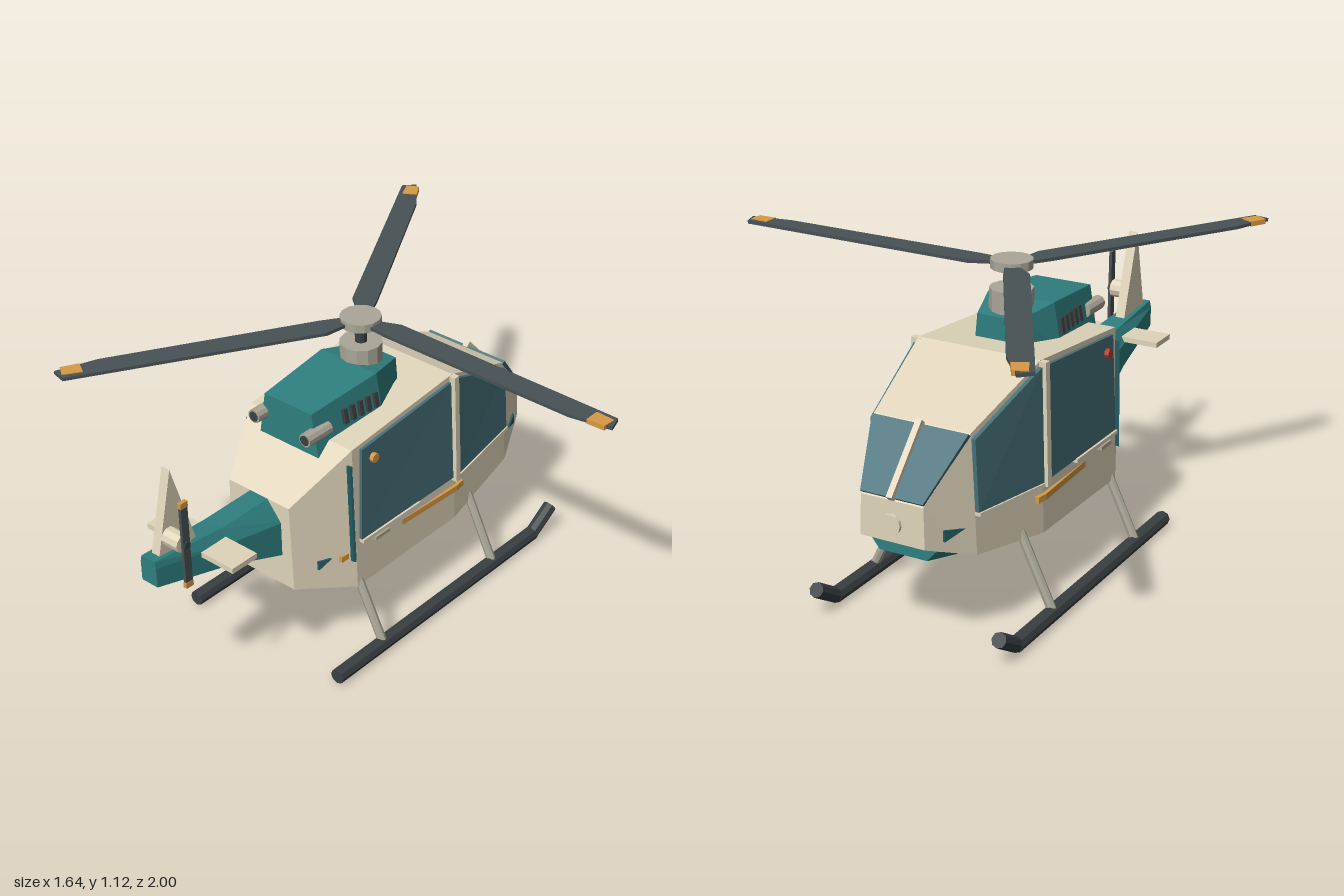
import * as THREE from 'three';

const CX = -0.258, ROTOR_Z = -0.062;
const mat = (color) => new THREE.MeshStandardMaterial({ color, flatShading: true });
const M = {
  cream: mat(0xe0d5bb), teal: mat(0x2f7f80), darkTeal: mat(0x235a60), glass: mat(0x456f78),
  dark: mat(0x3a4042), blade: mat(0x485154), metal: mat(0xaaa698), orange: mat(0xd89a45), red: mat(0xb83a30),
};

// Hull stations: z, half width and height of the roof, half width and height of the floor
const HULL = [
  [-0.835, 0.116, 0.535, 0.12, 0.39],
  [-0.65, 0.18, 0.735, 0.205, 0.318],
  [-0.286, 0.232, 0.874, 0.255, 0.262],
  [0.26, 0.237, 0.825, 0.255, 0.256],
  [0.478, 0.14, 0.655, 0.152, 0.318],
];

// Half width of the hull side at a given z and y
function hullX(z, y) {
  let i = 0;
  while (i < HULL.length - 2 && z > HULL[i + 1][0]) i++;
  const a = HULL[i], b = HULL[i + 1], t = (z - a[0]) / (b[0] - a[0]);
  const [, tw, ty, bw, by] = a.map((v, k) => v + (b[k] - v) * t);
  return bw + (tw - bw) * (y - by) / (ty - by);
}

// Skin closed rings of 3D points, with flat end caps
function loft(rings) {
  const pos = [], n = rings[0].length, last = rings[rings.length - 1];
  const tri = (...p) => p.forEach((q) => pos.push(...q));
  for (let k = 0; k < rings.length - 1; k++) {
    for (let i = 0; i < n; i++) {
      const j = (i + 1) % n, a = rings[k], b = rings[k + 1];
      tri(a[i], a[j], b[j]);
      tri(a[i], b[j], b[i]);
    }
  }
  for (let i = 1; i < n - 1; i++) {
    tri(last[0], last[i], last[i + 1]);
    tri(rings[0][0], rings[0][i + 1], rings[0][i]);
  }
  const g = new THREE.BufferGeometry();
  g.setAttribute('position', new THREE.Float32BufferAttribute(pos, 3));
  g.computeVertexNormals();
  return g;
}

// Symmetric four-sided section: z, top half width, top y, bottom half width, bottom y
const section = ([z, tw, ty, bw, by]) => [[-bw, by, z], [bw, by, z], [tw, ty, z], [-tw, ty, z]];

export function createModel() {
  const model = new THREE.Group();
  const body = new THREE.Group();
  body.name = 'helicopter';
  body.position.x = CX;
  model.add(body);

  const add = (name, geo, material, parent = body) => {
    const m = new THREE.Mesh(geo, material);
    m.name = name;
    parent.add(m);
    return m;
  };
  const box = (name, w, h, d, x, y, z, material, parent) => {
    const m = add(name, new THREE.BoxGeometry(w, h, d), material, parent);
    m.position.set(x, y, z);
    return m;
  };
  // Round bar between two points
  const bar = (name, a, b, r, material, sides = 8) => {
    const p = new THREE.Vector3(...a), d = new THREE.Vector3(...b).sub(p);
    const m = add(name, new THREE.CylinderGeometry(r, r, d.length(), sides), material);
    m.position.copy(p).addScaledVector(d, 0.5);
    m.quaternion.setFromUnitVectors(new THREE.Vector3(0, 1, 0), d.normalize());
    return m;
  };
  // Thin plate on the hull side; points are [z, y], counterclockwise seen from +x
  const panel = (name, pts, s, out, material) => {
    const ring = (off) => pts.map(([z, y]) => [s * (hullX(z, y) + off), y, z]);
    const rings = [ring(-0.01), ring(out)];
    if (s < 0) rings.forEach((r) => r.reverse());
    return add(name, loft(rings), material);
  };
  const strip = (z0, z1, y0, y1) => [[z0, y0], [z1, y0], [z1, y1], [z0, y1]];

  // Cabin, belly and engine cover
  add('fuselage', loft(HULL.map(section)), M.cream);
  add('bellyPan', loft([
    [-0.77, 0.12, 0.355, 0.09, 0.318], [-0.3, 0.185, 0.275, 0.175, 0.227], [0.04, 0.13, 0.27, 0.12, 0.252],
  ].map(section)), M.teal);
  const rearSlot = box('rearBellyVent', 0.25, 0.02, 0.05, 0, 0.287, 0.375, M.teal);
  rearSlot.rotation.x = -0.28;
  add('engineCover', loft([
    [-0.155, 0.08, 0.944, 0.09, 0.83], [0.005, 0.128, 0.971, 0.155, 0.82], [0.318, 0.108, 0.944, 0.14, 0.76],
  ].map(section)), M.teal);

  // Windscreen with centre bar
  const n = [0, 0.68, -0.734];
  const screen = [[-0.116, 0.54, -0.832], [-0.18, 0.73, -0.656], [0.18, 0.73, -0.656], [0.116, 0.54, -0.832]];
  const shift = (d) => screen.map((p) => p.map((v, k) => v + n[k] * d));
  add('windscreen', loft([shift(-0.01), shift(0.01)]), M.glass);
  const screenBar = box('windscreenBar', 0.022, 0.025, 0.275, 0, 0.645, -0.752, M.cream);
  screenBar.rotation.x = -0.823;
  const lamp = add('noseLamp', new THREE.CylinderGeometry(0.036, 0.036, 0.02, 12), M.cream);
  lamp.rotation.x = Math.PI / 2;
  lamp.position.set(0, 0.455, -0.838);

  for (const s of [1, -1]) {
    // Doors, windows and side trim
    panel('rearWindow', [[0.24, 0.45], [-0.268, 0.45], [-0.265, 0.852], [0.22, 0.812]], s, 0.012, M.glass);
    panel('frontWindow', [[-0.297, 0.445], [-0.648, 0.465], [-0.648, 0.715], [-0.297, 0.855]], s, 0.014, M.glass);
    panel('doorPost', strip(-0.27, -0.295, 0.435, 0.872), s, 0.026, M.cream);
    panel('rearSill', strip(0.24, -0.07, 0.438, 0.452), s, 0.02, M.cream);
    panel('frontSill', [[-0.3, 0.438], [-0.65, 0.455], [-0.65, 0.467], [-0.3, 0.45]], s, 0.02, M.cream);
    panel('doorHandle', strip(0.18, 0.105, 0.422, 0.436), s, 0.025, M.metal);
    panel('doorSeam', strip(0.28, 0.272, 0.375, 0.77), s, 0.016, M.darkTeal);
    panel('sideStripe', strip(0.32, -0.285, 0.385, 0.407), s, 0.014, M.orange);
    panel('sideStripeFront', strip(-0.285, -0.33, 0.385, 0.407), s, 0.014, M.orange);
    panel('rearMarker', [[0.395, 0.375], [0.35, 0.41], [0.395, 0.41]], s, 0.008, M.darkTeal);
    panel('noseMarker', [[-0.695, 0.425], [-0.77, 0.4], [-0.77, 0.44]], s, 0.008, M.darkTeal);
    const lx = hullX(0.168, 0.76);
    bar('sideLight', [s * (lx - 0.01), 0.76, 0.168], [s * (lx + 0.028), 0.76, 0.168], 0.018, s > 0 ? M.orange : M.red);

    // Exhausts and cooling slots
    bar('exhaust', [s * 0.119, 0.868, 0.25], [s * 0.119, 0.868, 0.365], 0.026, M.metal, 10);
    bar('exhaustOpening', [s * 0.119, 0.868, 0.36], [s * 0.119, 0.868, 0.368], 0.019, M.dark, 10);
    for (let i = 0; i < 5; i++) {
      const slot = box('coolingSlot', 0.02, 0.055, 0.018, s * (0.143 - i * 0.0022), 0.883, 0.03 + i * 0.037, M.dark);
      slot.rotation.z = s * 0.18;
    }

    // Landing gear
    const sx = s * 0.349;
    bar('skid', [sx, 0.032, 0.483], [sx, 0.032, -0.655], 0.028, M.dark);
    bar('skidTip', [sx, 0.03, -0.645], [sx, 0.1, -0.762], 0.027, M.dark);
    for (const z of [0.238, -0.397]) {
      bar('skidLeg', [s * 0.222, 0.31, z], [sx, 0.045, z], 0.017, M.metal);
    }
  }

  // Tail boom with chamfered upper edges: z, top half, top y, mid half, mid y, bottom y
  add('tailBoom', loft([
    [0.45, 0.04, 0.655, 0.105, 0.575, 0.435], [0.7, 0.04, 0.652, 0.07, 0.6, 0.512], [1.0, 0.03, 0.675, 0.036, 0.65, 0.575],
  ].map(([z, tw, ty, mw, my, by]) => [[-mw, by, z], [mw, by, z], [mw, my, z], [tw, ty, z], [-tw, ty, z], [-mw, my, z]])), M.teal);
  const finRing = (x) => [[x, 0.63, 0.975], [x, 0.63, 0.79], [x, 0.976, 0.892]];
  add('tailFin', loft([finRing(-0.018), finRing(0.018)]), M.cream);
  box('stabiliser', 0.402, 0.02, 0.116, 0, 0.614, 0.757, M.cream);

  // Tail rotor
  bar('tailRotorHub', [0.01, 0.732, 0.917], [0.088, 0.732, 0.917], 0.034, M.cream, 10);
  bar('tailRotorShaft', [0.08, 0.732, 0.917], [0.106, 0.732, 0.917], 0.014, M.dark);
  box('tailRotorBlades', 0.012, 0.335, 0.03, 0.096, 0.732, 0.917, M.blade);
  for (const s of [1, -1]) box('tailRotorTip', 0.015, 0.022, 0.032, 0.096, 0.732 + s * 0.158, 0.917, M.orange);

  // Main rotor
  bar('mastBase', [0, 0.93, ROTOR_Z], [0, 1.025, ROTOR_Z], 0.077, M.metal, 12);
  bar('mast', [0, 1.0, ROTOR_Z], [0, 1.1, ROTOR_Z], 0.022, M.dark, 10);
  bar('rotorHub', [0, 1.094, ROTOR_Z], [0, 1.126, ROTOR_Z], 0.074, M.metal, 14);
  const plan = (pts, y0, y1) => loft([y0, y1].map((y) => pts.map(([x, z]) => [x, y, z])));
  const bladeGeo = plan([[0.05, 0.025], [0.14, 0.032], [0.92, 0.037], [1.075, 0.01], [1.058, -0.045], [0.14, -0.057], [0.05, -0.02]], -0.006, 0.006);
  const tipGeo = plan([[0.985, 0.026], [1.052, 0.024], [1.056, -0.026], [0.985, -0.03]], -0.009, 0.009);
  for (let i = 0; i < 3; i++) {
    const arm = new THREE.Group();
    arm.name = 'rotorBlade';
    arm.position.set(0, 1.108, ROTOR_Z);
    arm.rotation.y = i * Math.PI * 2 / 3;
    body.add(arm);
    add('blade', bladeGeo, M.blade, arm);
    add('bladeTip', tipGeo, M.orange, arm);
  }
  return model;
}
